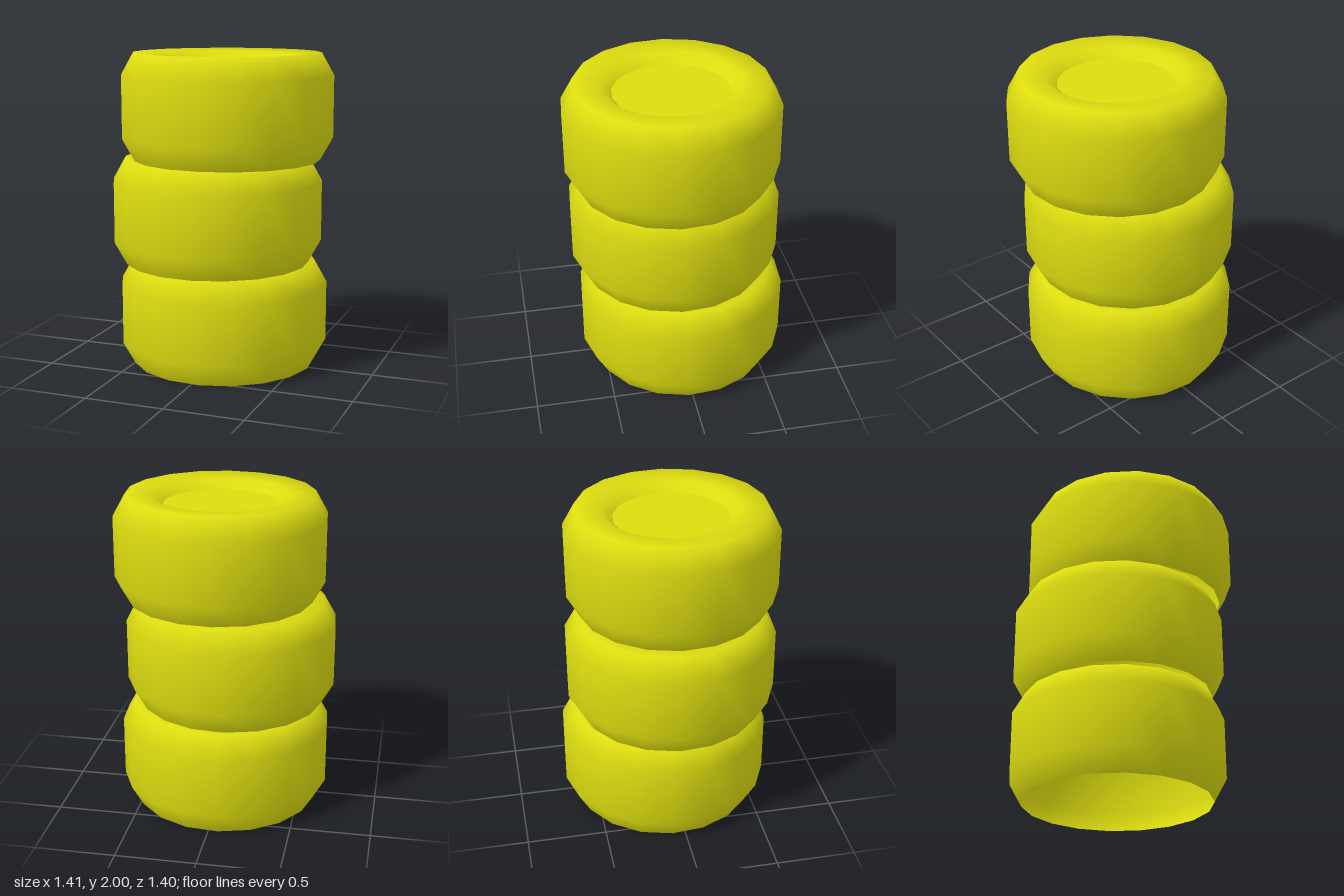
import * as THREE from 'three';

const SIDES = 18;
const START = THREE.MathUtils.degToRad(5);
const HEIGHT = 2 / 3;
const HUB_RADIUS = 0.36;
const HUB_HEIGHT = 0.597;

export function createModel() {
  // Double-sided because each tyre is a thin shell, open underneath
  const yellow = new THREE.MeshStandardMaterial({ color: 0xdcdc10, side: THREE.DoubleSide });
  yellow.name = 'yellow rubber';
  const model = new THREE.Group();
  model.name = 'tyreStack';

  // Tyre wall from the open bottom rim up, ending at the sunken hub
  const profile = [
    [0.59, 0], [0.668, 0.142], [0.668, 0.528],
    [0.59, HEIGHT], [0.43, 0.652], [HUB_RADIUS, HUB_HEIGHT],
  ].map(([r, y]) => new THREE.Vector2(r, y));
  const wallGeometry = new THREE.LatheGeometry(profile, SIDES, START);

  // Flat disc closing the hub, its corners matching those of the wall
  const hubGeometry = new THREE.CircleGeometry(HUB_RADIUS, SIDES, -START);
  hubGeometry.rotateX(-Math.PI / 2);

  // Slightly shifted tyres, bottom to top
  const offsets = [[-0.008, -0.03], [-0.038, 0.01], [0.037, 0.035]];
  offsets.forEach(([x, z], i) => {
    const tyre = new THREE.Group();
    tyre.name = ['bottomTyre', 'middleTyre', 'topTyre'][i];
    tyre.position.set(x, i * HEIGHT, z);

    const wall = new THREE.Mesh(wallGeometry, yellow);
    wall.name = 'tyreWall';
    const hub = new THREE.Mesh(hubGeometry, yellow);
    hub.name = 'hubDisc';
    hub.position.y = HUB_HEIGHT;
    tyre.add(wall, hub);
    model.add(tyre);
  });

  return model;
}
